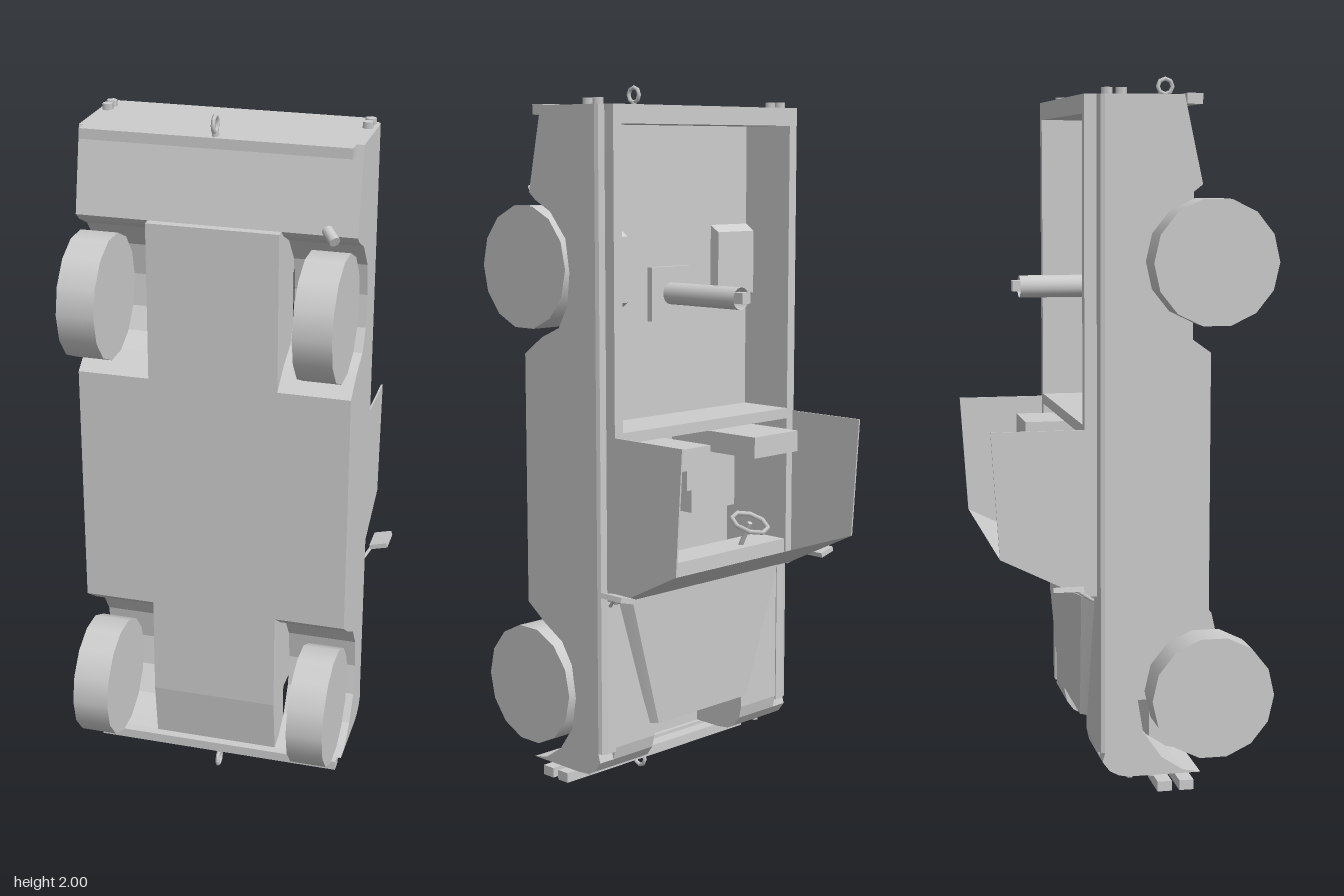
import * as THREE from 'three';

// The vehicle stands on its nose: y runs along its length, -z is its upper side.
export function createModel() {
  const root = new THREE.Group();
  const paint = new THREE.MeshStandardMaterial({ color: 0xcccccc, side: THREE.DoubleSide });
  paint.name = 'light grey';

  function add(name, geo, x = 0, y = 0, z = 0) {
    const m = new THREE.Mesh(geo, paint);
    m.name = name;
    m.position.set(x, y, z);
    root.add(m);
    return m;
  }
  // box given by its limits on each axis
  function box(name, x0, x1, y0, y1, z0, z1) {
    return add(name, new THREE.BoxGeometry(x1 - x0, y1 - y0, z1 - z0),
      (x0 + x1) / 2, (y0 + y1) / 2, (z0 + z1) / 2);
  }
  // side profile of [y, z] points, extruded from x0 to x1
  function profile(name, pts, x0, x1) {
    const s = new THREE.Shape(pts.map(([y, z]) => new THREE.Vector2(-z, y)));
    const g = new THREE.ExtrudeGeometry(s, { depth: x1 - x0, bevelEnabled: false });
    g.rotateY(Math.PI / 2);
    return add(name, g, x0, 0, 0);
  }
  function bothSides(name, pts, x0, x1) {
    profile(name + 'Left', pts, x0, x1);
    profile(name + 'Right', pts, -x1, -x0);
  }
  function rod(name, a, b, r, sides = 6) {
    const p = new THREE.Vector3(...a), q = new THREE.Vector3(...b);
    const m = add(name, new THREE.CylinderGeometry(r, r, p.distanceTo(q), sides));
    m.position.copy(p).add(q).multiplyScalar(0.5);
    m.quaternion.setFromUnitVectors(new THREE.Vector3(0, 1, 0), q.sub(p).normalize());
    return m;
  }

  // underside line with wheel arches, nose to tail
  const underside = [
    [0.12, 0.18], [0.13, 0.13], [0.17, 0.07], [0.24, 0.02], [0.33, 0.005], [0.42, 0.02],
    [0.48, 0.06], [0.52, 0.13], [0.57, 0.2], [1.27, 0.2], [1.32, 0.13], [1.35, 0.06],
    [1.41, 0.025], [1.5, 0.015], [1.59, 0.03], [1.66, 0.09], [1.69, 0.15], [1.71, 0.175], [1.94, 0.125],
  ];
  const noseCurve = [[0.2, -0.1], [0.165, -0.092], [0.138, -0.072], [0.124, -0.045], [0.12, -0.01]];
  const cabin = [[1.08, -0.1], [1.05, -0.1], [1.05, 0.1], [0.65, 0.1], [0.65, -0.1]];

  // outer sides
  bothSides('bodySide', [...underside, [1.94, -0.085], [0.19, -0.085], ...noseCurve.slice(1)], 0.33, 0.38);
  // inner sides: fenders, cabin floor, bed floor and wheel housings
  bothSides('innerBody', [...underside, [1.94, -0.1], [1.89, -0.1], [1.89, 0.03],
    [1.61, 0.03], [1.59, 0], [1.41, 0], [1.39, 0.03], [1.08, 0.03], ...cabin, ...noseCurve], 0.18, 0.33);
  // centre section with the open nose
  profile('centreBody', [[0.12, 0.18], [0.28, 0.2], [1.71, 0.2], [1.71, 0.175], [1.94, 0.125],
    [1.94, -0.1], [1.89, -0.1], [1.89, 0.03], [1.08, 0.03], ...cabin,
    [0.27, -0.1], [0.27, 0.08], [0.12, 0.08]], -0.18, 0.18);

  // rounded shoulders along the body
  for (const s of [1, -1]) {
    const shape = new THREE.Shape([[0.33, 0.085], [0.38, 0.085], [0.376, 0.096], [0.361, 0.103], [0.33, 0.103]]
      .map(([x, z]) => new THREE.Vector2(s * x, z)));
    const g = new THREE.ExtrudeGeometry(shape, { depth: 1.75, bevelEnabled: false });
    g.rotateX(-Math.PI / 2);
    add('shoulder', g, 0, 0.19, 0);
  }

  // coaming around the cabin and the bed
  const rect = (C, x, y0, y1) => {
    const p = new C();
    p.moveTo(-x, y0); p.lineTo(x, y0); p.lineTo(x, y1); p.lineTo(-x, y1); p.closePath();
    return p;
  };
  const rim = rect(THREE.Shape, 0.36, 0.62, 1.94);
  rim.holes.push(rect(THREE.Path, 0.33, 0.65, 1.05), rect(THREE.Path, 0.33, 1.08, 1.89));
  add('coaming', new THREE.ExtrudeGeometry(rim, { depth: 0.04, bevelEnabled: false }), 0, 0, -0.136);

  // tapering bonnet, lower towards the nose
  const hood = new THREE.BoxGeometry(2, 1, 1);
  const hp = hood.attributes.position;
  for (let i = 0; i < hp.count; i++) {
    const back = hp.getY(i) > 0, up = hp.getZ(i) < 0;
    const x = (back ? 0.31 : 0.19) + (up ? -0.01 : 0.015);
    hp.setXYZ(i, Math.sign(hp.getX(i)) * x, back ? 0.63 : 0.24, up ? (back ? -0.135 : -0.118) : -0.09);
  }
  hood.computeVertexNormals();
  add('bonnet', hood);

  // windscreen and cab sides
  const screen = new THREE.PlaneGeometry(0.72, 1);
  const sp = screen.attributes.position;
  for (let i = 0; i < sp.count; i++) {
    const top = sp.getY(i) > 0;
    sp.setXYZ(i, sp.getX(i), top ? 0.73 : 0.615, top ? -0.363 : -0.13);
  }
  screen.computeVertexNormals();
  add('windscreen', screen);
  bothSides('cabSide', [[0.615, -0.13], [0.73, -0.363], [1.07, -0.385], [1.07, -0.13]], 0.355, 0.36);

  // seats, console, dashboard
  for (const s of [1, -1]) {
    const [a, b] = s > 0 ? [0.088, 0.272] : [-0.275, -0.092];
    box('seatBack', a, b, 0.97, 1.03, -0.226, 0.1);
    box('seatCushion', a, b, 0.78, 0.97, 0.02, 0.1);
  }
  box('console', -0.05, 0.05, 0.88, 0.98, -0.1, 0.1);
  box('dashboard', -0.33, 0.33, 0.65, 0.69, -0.13, -0.02);
  const wheel = add('steeringWheel', new THREE.TorusGeometry(0.055, 0.007, 5, 8), -0.18, 0.76, -0.13);
  wheel.rotation.x = Math.PI / 2 - 0.4;
  rod('steeringColumn', [-0.18, 0.68, -0.09], [-0.18, 0.76, -0.13], 0.008);

  // post on its base plate in the bed
  box('postPlate', -0.075, 0.075, 1.35, 1.5, 0.012, 0.03);
  const post = add('post', new THREE.CylinderGeometry(0.031, 0.031, 0.27, 14, 1, true), 0, 1.425, -0.12);
  post.rotation.x = Math.PI / 2;
  box('postTip', -0.016, 0.016, 1.412, 1.442, -0.275, -0.235);

  for (const s of [1, -1]) {
    // road wheels
    for (const y of [0.32, 1.505]) {
      const g = new THREE.CylinderGeometry(0.171, 0.171, 0.103, 14);
      g.rotateZ(Math.PI / 2);
      add('roadWheel', g, s * 0.3135, y, 0.22);
    }
    // mirrors
    const mirror = box('mirror', -0.026, 0.026, -0.007, 0.007, -0.041, 0.041);
    mirror.position.set(s * 0.407, 0.653, -0.192);
    mirror.rotation.z = s * 0.25;
    rod('mirrorArm', [s * 0.36, 0.61, -0.115], [s * 0.39, 0.65, -0.17], 0.005);
    // tail and nose lamps
    for (const z of [-0.075, -0.038]) add('tailLamp', new THREE.CylinderGeometry(0.015, 0.015, 0.02, 6), s * 0.356, 1.947, z);
    for (const z of [-0.01, 0.05]) add('noseLamp', new THREE.CylinderGeometry(0.01, 0.01, 0.02, 6), s * 0.34, 0.115, z);
  }

  // bumpers
  box('frontBumperLower', -0.36, 0.36, 0.064, 0.092, 0.126, 0.166);
  box('frontBumperUpper', -0.36, 0.36, 0.064, 0.092, 0.065, 0.105);
  box('rearBumper', -0.362, 0.362, 1.916, 1.944, 0.136, 0.178);
  // tow rings
  for (const [y, z, d] of [[0.028, 0.144, 1], [1.976, 0.16, -1]]) {
    const ring = add('towRing', new THREE.TorusGeometry(0.021, 0.006, 6, 8), 0, y, z);
    ring.rotation.y = Math.PI / 2;
    rod('towStem', [0, y + d * 0.02, z], [0, y + d * 0.05, z], 0.008);
  }

  // exhaust pipe
  const pipe = rod('exhaustPipe', [0.3, 1.735, 0.19], [0.335, 1.71, 0.23], 0.015, 8);
  pipe.scale.set(1, 0.8, 1);

  return root;
}
